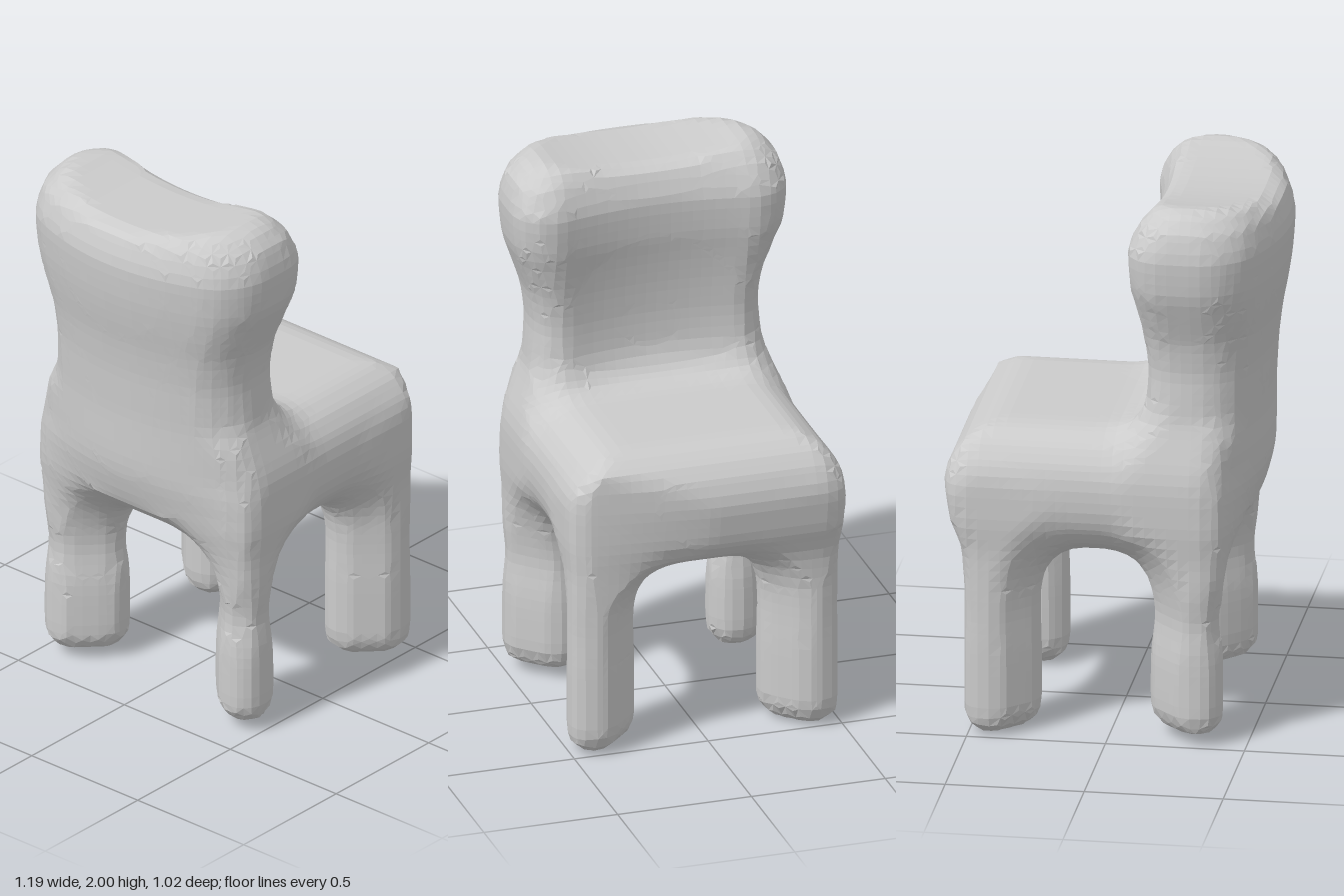
import * as THREE from 'three';

// Outline by height: y, rear x, front x of backrest, front x of whole body, half width
const PROFILE = [
  [0.00, -0.41, -0.15, 0.52, 0.50], [0.60, -0.41, -0.15, 0.52, 0.50], [0.70, -0.445, -0.13, 0.53, 0.50],
  [0.80, -0.485, -0.12, 0.57, 0.51], [0.95, -0.525, -0.11, 0.595, 0.51], [1.02, -0.53, -0.11, 0.59, 0.50],
  [1.09, -0.53, -0.11, 0.59, 0.475], [1.20, -0.53, -0.11, 0.59, 0.435], [1.38, -0.54, -0.115, 0.59, 0.42],
  [1.50, -0.555, -0.105, 0.59, 0.435], [1.60, -0.575, -0.09, 0.59, 0.47], [1.70, -0.59, -0.07, 0.59, 0.505],
  [1.84, -0.60, -0.06, 0.59, 0.515], [1.94, -0.565, -0.10, 0.59, 0.485], [2.05, -0.44, -0.20, 0.59, 0.37],
];

const clamp = THREE.MathUtils.clamp;

function profileAt(y) {
  const i = clamp(PROFILE.findIndex(row => row[0] > y), 1, PROFILE.length - 1);
  const a = PROFILE[i - 1], b = PROFILE[i], t = clamp((y - a[0]) / (b[0] - a[0]), 0, 1);
  return a.map((v, k) => v + (b[k] - v) * t);
}

// Distance rules: corner rounding, rounded rectangle, and a soft join.
const rounded = (u, v, r) =>
  Math.hypot(Math.max(u + r, 0), Math.max(v + r, 0)) + Math.min(Math.max(u, v) + r, 0) - r;
const slab = (x, z, x0, x1, hz, r) =>
  rounded(Math.abs(x - (x0 + x1) / 2) - (x1 - x0) / 2, Math.abs(z) - hz, r);
function softMin(a, b, k) {
  const h = Math.max(k - Math.abs(a - b), 0);
  return Math.min(a, b) - h * h / (4 * k);
}

// Rear wall curves forward towards both sides.
const rearX = (x0, y, z) => x0 + 0.14 * clamp((y - 0.6) / 0.4, 0, 1) * (z / 0.5) ** 2;

// Backrest: waisted, hollowed in front, dipped along the crown
function backrest(x, y, z) {
  const [, x0, x1, , hz] = profileAt(y);
  const middle = Math.max(0, 1 - (z / 0.36) ** 2);
  const side = slab(x, z, rearX(x0, y, z), x1 - 0.05 * middle, hz, 0.13);
  return Math.max(side, y - 2 + 0.04 * middle, 0.85 - y);
}

// Seat: thick cushion with well rounded rims
const seat = (x, y, z) =>
  rounded(slab(x, z, -0.46, 0.592, 0.505, 0.1), Math.abs(y - 0.912) - 0.233, 0.21);

// Leg: narrow oval column set on the diagonal, with a slight waist
function makeLeg(sx, sz) {
  const cx = sx > 0 ? 0.39 : -0.275, cz = sz * 0.37;
  const foot = sx > 0 ? 0 : 0.025, waist = sx > 0 ? 0.004 : 0.016;
  return (x, y, z) => {
    const dx = (x - cx) * sx * Math.SQRT1_2, dz = (z - cz) * sz * Math.SQRT1_2;
    const along = Math.max(0, Math.abs(dx + dz) - 0.055);
    const radius = 0.1 - waist * Math.exp(-(((y - 0.45) / 0.1) ** 2));
    return rounded(Math.hypot(along, dx - dz) - radius, Math.max(foot - y, y - 0.9), 0.09);
  };
}

const parts = [{ name: 'backrest', field: backrest }, { name: 'seat', field: seat }];
for (const sx of [-1, 1]) {
  for (const sz of [-1, 1]) {
    const name = (sx > 0 ? 'front' : 'back') + (sz > 0 ? 'Right' : 'Left') + 'Leg';
    parts.push({ name, field: makeLeg(sx, sz) });
  }
}

// Whole chair: soft joins, trimmed flush along the outer walls
function chairField(x, y, z) {
  const [back, cushion, ...legs] = parts.map(p => p.field(x, y, z));
  const [, x0, , x1, hz] = profileAt(y);
  const front = x1 - (x1 - 0.52) * clamp(z / 0.45, 0, 1);
  const trim = slab(x, z, rearX(x0, y, z), front, hz, 0.07);
  return Math.max(softMin(softMin(back, cushion, 0.15), Math.min(...legs), 0.18), trim);
}

// Skin the field with one vertex per crossed grid cell; returns quads of points.
function skin(field, min, size, cell) {
  const n = size.map(s => Math.ceil(s / cell) + 1);
  const id = (i, j, k) => (i * n[1] + j) * n[2] + k;
  const at = g => min.map((m, a) => m + g[a] * cell);
  const step = [id(1, 0, 0), id(0, 1, 0), id(0, 0, 1)];
  const values = new Float32Array(n[0] * n[1] * n[2]), points = new Map(), quads = [];
  const each = visit => {
    for (let i = 0; i < n[0]; i++)
      for (let j = 0; j < n[1]; j++)
        for (let k = 0; k < n[2]; k++) visit([i, j, k], id(i, j, k));
  };
  each((g, c) => { values[c] = field(...at(g)); });
  each((g, c) => {
    if (g.some((v, a) => v === n[a] - 1)) return;
    const sum = [0, 0, 0];
    let count = 0;
    for (let a = 0; a < 3; a++) {
      const b = (a + 1) % 3, d = (a + 2) % 3;
      for (const [s, t] of [[0, 0], [1, 0], [0, 1], [1, 1]]) {
        const e = c + s * step[b] + t * step[d], v0 = values[e], v1 = values[e + step[a]];
        if ((v0 < 0) === (v1 < 0)) continue;
        sum[a] += g[a] + v0 / (v0 - v1);
        sum[b] += g[b] + s;
        sum[d] += g[d] + t;
        count++;
      }
    }
    if (count) points.set(c, at(sum.map(v => v / count)));
  });
  each((g, c) => {
    for (let a = 0; a < 3; a++) {
      if (g[a] === n[a] - 1 || (values[c] < 0) === (values[c + step[a]] < 0)) continue;
      const b = step[(a + 1) % 3], d = step[(a + 2) % 3];
      const quad = [c - b - d, c - d, c, c - b].map(q => points.get(q));
      quads.push(values[c] < 0 ? quad : quad.reverse());
    }
  });
  return quads;
}

export function createModel() {
  const chair = new THREE.Group();
  chair.name = 'chair';
  const material = new THREE.MeshStandardMaterial({ color: 0xcccccc, flatShading: true });
  const faces = parts.map(() => []);
  // each face goes to the part it lies nearest to
  for (const [a, b, c, d] of skin(chairField, [-0.68, -0.07, -0.6], [1.36, 2.16, 1.2], 0.04)) {
    const mid = a.map((v, k) => (v + c[k]) / 2);
    const near = parts.map(p => p.field(...mid));
    faces[near.indexOf(Math.min(...near))].push(...a, ...b, ...c, ...a, ...c, ...d);
  }
  parts.forEach(({ name }, i) => {
    const geo = new THREE.BufferGeometry();
    geo.setAttribute('position', new THREE.Float32BufferAttribute(faces[i], 3));
    geo.computeVertexNormals();
    const mesh = new THREE.Mesh(geo, material);
    mesh.name = name;
    chair.add(mesh);
  });
  return chair;
}
